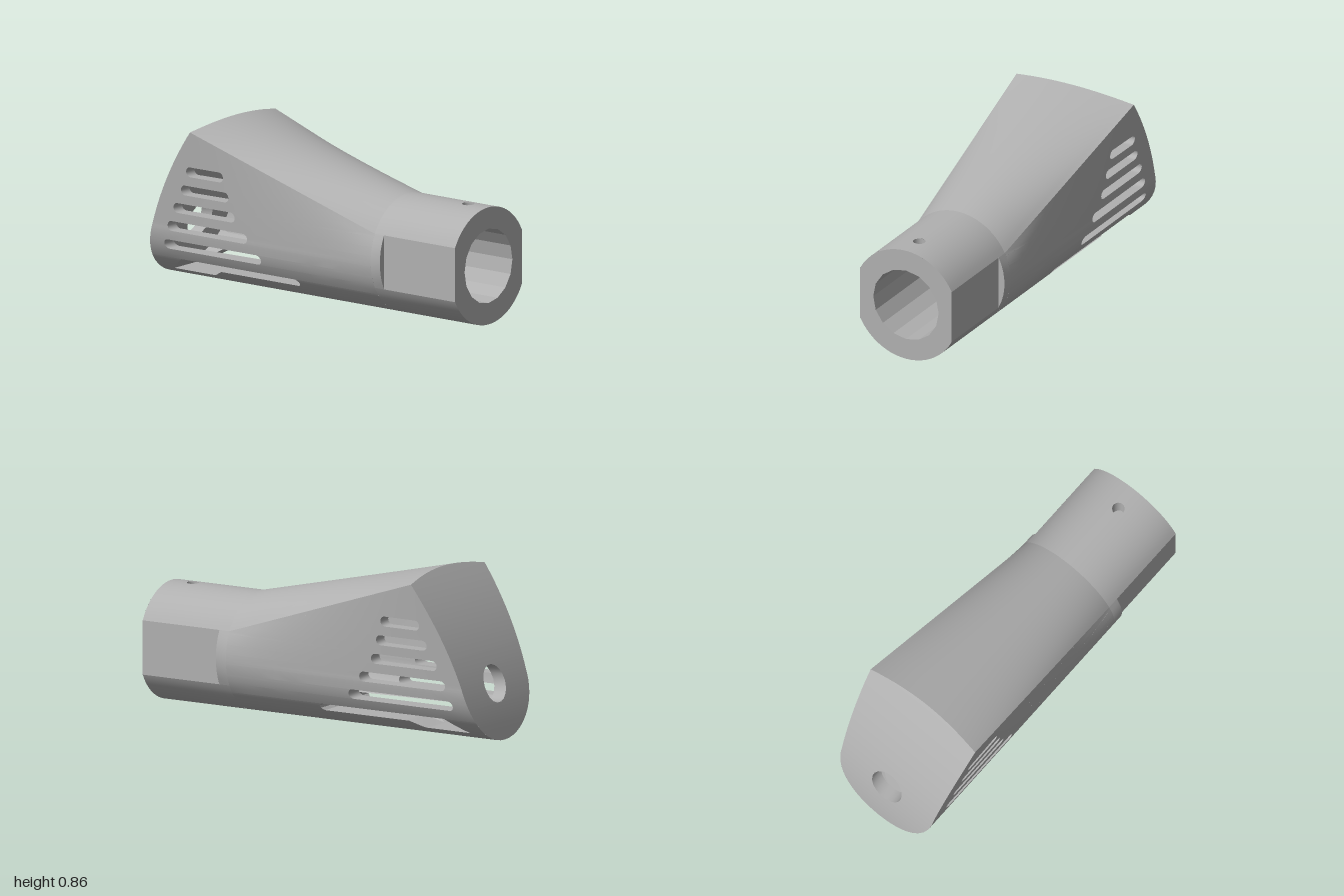
import * as THREE from 'three';
import { toCreasedNormals } from 'three/addons/utils/BufferGeometryUtils.js';

const C = 0.304;                       // barrel axis height
const FX = 0.27;                       // x of the collar flats
const Z0 = 0.48, LEN = 1.11;           // where the flare starts, and its length
const HOLE_Y = 0.283, HOLE_R = 0.095;  // rear hole
const BORE = 0.193, WALL = 0.07;
const N = 20;                          // rulings across the flared top
const lerp = THREE.MathUtils.lerp, clamp = THREE.MathUtils.clamp;
const root = v => Math.sqrt(Math.max(0, v));

// Outer skin and inner cavity: round at the collar, tall and crowned at the rear
const OUTER = { r0: 0.304, r1: 0.304, flat: 0.14, topX: 0.344, topY: 0.81, crown: 0.046, inset: 0 };
const INNER = { r0: BORE, r1: 0.227, flat: 0.089, topX: 0.274, topY: 0.745, crown: 0.04, inset: WALL };

// Curved rear surface
const backZ = y => -1 + 0.1076 * y + 0.38 * y * y;

// Half width of a skin
function sideX(k, y, z) {
  const t = Math.max(0, (Z0 - z) / LEN);
  if (y <= C) return root(lerp(k.r0, k.r1, t) ** 2 - (y - C) ** 2);
  const s = Math.min(1, (y - C) / lerp(k.flat, k.topY - C, t));
  return lerp(root(k.r0 ** 2 - (k.flat * s) ** 2), lerp(k.r1, k.topX, s), t);
}

// Straight rulings from the collar circle to the crowned top edge
function makeRulings(k) {
  const a0 = Math.asin(k.flat / k.r0);
  return Array.from({ length: N + 1 }, (_, i) => {
    const a = lerp(a0, Math.PI - a0, i / N), f = Math.cos(a) / Math.cos(a0);
    const x0 = k.r0 * Math.cos(a), y0 = C + k.r0 * Math.sin(a);
    const y1 = k.topY + k.crown * (1 - f * f);
    let t = 1;
    for (let n = 0; n < 20; n++) t = (Z0 - backZ(lerp(y0, y1, t)) - k.inset) / LEN;
    return { x0, y0, x: lerp(x0, k.topX * f, t), y: lerp(y0, y1, t), z: Z0 - LEN * t };
  });
}

// Closed outlines in (u, v)
const circle = (u, v, r, n) => Array.from({ length: n }, (_, i) => {
  const a = i / n * Math.PI * 2;
  return [u + r * Math.cos(a), v + r * Math.sin(a)];
});
function slot(y, zFront, zRear, h = 0.026) {
  const pts = [];
  for (const [z, start] of [[zFront - h, -Math.PI / 2], [zRear + h, Math.PI / 2]])
    for (let i = 0; i <= 8; i++) {
      const a = start + i / 8 * Math.PI;
      pts.push([z + h * Math.cos(a), y + h * Math.sin(a)]);
    }
  return pts;
}

// Where an outline crosses height v, using the edges that pass height mid
function cross(poly, v, mid) {
  const hits = [];
  poly.forEach(([u1, v1], i) => {
    const [u2, v2] = poly[(i + 1) % poly.length];
    if ((v1 < mid) !== (v2 < mid)) hits.push(lerp(u1, u2, (v - v1) / (v2 - v1)));
  });
  return hits.sort((a, b) => a - b);
}

function geometryFrom(quads) {
  const pos = [];
  for (const [a, b, c, d] of quads) pos.push(...a, ...b, ...c, ...a, ...c, ...d);
  const g = new THREE.BufferGeometry();
  g.setAttribute('position', new THREE.Float32BufferAttribute(pos, 3));
  return toCreasedNormals(g, 0.45);
}

// Surface made of rows, with holes left out
function panel(levels, span, holes, map, n = 14) {
  const rows = [...levels, ...holes.flat().map(p => p[1])]
    .filter(v => v >= Math.min(...levels) && v <= Math.max(...levels))
    .sort((a, b) => a - b).filter((v, i, l) => !i || v - l[i - 1] > 1e-5);
  const quads = [];
  for (let i = 0; i + 1 < rows.length; i++) {
    const va = rows[i], vb = rows[i + 1], mid = (va + vb) / 2;
    const cuts = v => {
      const [lo, hi] = span(v, mid);
      const inner = holes.flatMap(h => cross(h, v, mid)).map(u => clamp(u, lo, hi));
      return [lo, ...inner.sort((a, b) => a - b), hi];
    };
    const a = cuts(va), b = cuts(vb);
    for (let k = 0; k < a.length; k += 2) {
      if (a[k + 1] - a[k] + b[k + 1] - b[k] < 1e-6) continue;
      for (let j = 0; j < n; j++) {
        const u = (l, f) => lerp(l[k], l[k + 1], f / n);
        quads.push([map(u(a, j), va), map(u(a, j + 1), va), map(u(b, j + 1), vb), map(u(b, j), vb)]);
      }
    }
  }
  return geometryFrom(quads);
}

export function createModel() {
  const group = new THREE.Group();
  const grey = new THREE.MeshStandardMaterial({ color: 0xb0b0b0, side: THREE.DoubleSide });
  grey.name = 'grey';
  const add = (name, geometry) => {
    const m = new THREE.Mesh(geometry, grey);
    m.name = name;
    group.add(m);
    return m;
  };

  // Side vents, the lowest one widening towards the rear
  const slots = [
    slot(0.607, -0.46, -0.695), slot(0.506, -0.43, -0.735), slot(0.406, -0.395, -0.79),
    slot(0.305, -0.32, -0.835), slot(0.203, -0.245, -0.87),
    [[-0.04, 0.098], [-0.04, 0.112], [-0.055, 0.125], [-0.79, 0.125], [-0.9, 0.05],
      [-0.635, 0.05], [-0.56, 0.085], [-0.055, 0.085]],
  ];
  const rearHole = circle(0, HOLE_Y, HOLE_R, 18);

  // Flared shell: the outer skin and the cavity inside it
  for (const [name, k] of [['outer', OUTER], ['cavity', INNER]]) {
    const rulings = makeRulings(k), half = rulings.slice(0, N / 2 + 1);
    const quads = [];
    for (let i = 0; i < N; i++) for (let j = 0; j < 8; j++) {
      const at = (r, f) => [lerp(r.x0, r.x, f), lerp(r.y0, r.y, f), lerp(Z0, r.z, f)];
      const p = rulings[i], q = rulings[i + 1];
      quads.push([at(p, j / 8), at(p, (j + 1) / 8), at(q, (j + 1) / 8), at(q, j / 8)]);
    }
    add(name + 'Top', geometryFrom(quads));

    // Flanks and round underside
    const deepest = lerp(k.r0, k.r1, (Z0 + 0.92) / LEN);
    const levels = [C - k.r0, C + k.flat];
    for (let i = 0; i <= 12; i++) levels.push(C - deepest * Math.cos(i / 12 * Math.PI / 2));
    for (let i = 1; i <= 14; i++) levels.push(lerp(C, half[0].y, i / 14));
    const span = (y, mid) => {
      let front = Z0;
      if (mid > C + k.flat) front -= LEN * (y - C - k.flat) / (k.topY - C - k.flat);
      if (mid < C - k.r0) front -= LEN * (C - y - k.r0) / (k.r1 - k.r0);
      const rear = backZ(y) + k.inset;
      return [rear, Math.max(front, rear)];
    };
    for (const [side, s] of [['Left', 1], ['Right', -1]])
      add(name + side + 'Flank', panel(levels, span, slots, (z, y) => [s * sideX(k, y, z), y, z]));

    // Rear wall with its round hole
    const rearX = y => {
      if (y <= half[0].y) return sideX(k, y, backZ(y) + k.inset);
      const i = Math.max(1, half.findIndex(r => r.y >= y - 1e-7));
      const p = half[i - 1], q = half[i];
      return lerp(p.x, q.x, clamp((y - p.y) / (q.y - p.y), 0, 1));
    };
    add(name + 'RearWall', panel([...levels, ...half.map(r => r.y)], y => [-rearX(y), rearX(y)],
      [rearHole], (x, y) => [x, y, backZ(y) + k.inset], 2));
  }
  add('rearHoleRim', geometryFrom(rearHole.map(([x, y], i) => {
    const [x2, y2] = rearHole[(i + 1) % rearHole.length];
    return [[x, y, backZ(y)], [x2, y2, backZ(y2)], [x2, y2, backZ(y2) + WALL], [x, y, backZ(y) + WALL]];
  })));

  // Collar and vent details on each side
  const { r0: R, flat: FLAT } = OUTER;
  const arc = Array.from({ length: 17 }, (_, i) => C - R * Math.cos(i / 16 * Math.PI / 2));
  const mids = Array.from({ length: 9 }, (_, i) => C + FLAT * (i / 4 - 1));
  for (const [side, s] of [['left', 1], ['right', -1]]) {
    const skin = (k, [z, y]) => [s * sideX(k, y, z), y, z];
    const walls = [];
    for (const poly of slots) poly.forEach((p, i) => {
      const q = poly[(i + 1) % poly.length], n = Math.abs(p[0] - q[0]) > 0.1 ? 14 : 1;
      for (let j = 0; j < n; j++) {
        const [a, b] = [j / n, (j + 1) / n].map(f => [lerp(p[0], q[0], f), lerp(p[1], q[1], f)]);
        walls.push([skin(OUTER, a), skin(OUTER, b), skin(INNER, b), skin(INNER, a)]);
      }
    });
    add(side + 'VentWalls', geometryFrom(walls));

    add(side + 'CollarUnderside', panel([...arc.filter(y => y < C - FLAT), C - FLAT], () => [Z0, 1], [],
      (z, y) => [s * sideX(OUTER, y, z), y, z], 1));
    add(side + 'CollarShoulder', panel(mids, () => [Z0, 0.54], [],
      (z, y) => [s * root(R * R - (y - C) ** 2), y, z], 1));
    add(side + 'CollarStep', panel(mids, y => [FX, Math.max(FX, root(R * R - (y - C) ** 2))], [],
      (x, y) => [s * x, y, 0.54], 1));
    const flat = add(side + 'CollarFlat', new THREE.PlaneGeometry(0.46, FLAT * 2));
    flat.rotation.y = s * Math.PI / 2;
    flat.position.set(s * FX, C, 0.77);
  }

  // Collar top with a small pin hole
  add('collarTop', panel(makeRulings(OUTER).map(r => r.x0), () => [Z0, 1], [circle(0.87, 0, 0.032, 16)],
    (z, x) => [x, C + root(R * R - x * x), z], 4));
  const pin = add('pinHole', new THREE.CylinderGeometry(0.032, 0.032, 0.115, 16, 1, true));
  pin.position.set(0, 0.549, 0.87);

  // Faceted bore and the front ring around it
  const bore = add('bore', toCreasedNormals(new THREE.CylinderGeometry(BORE, BORE, 1 - Z0, 16, 1, true), 0.3));
  bore.rotation.x = Math.PI / 2;
  bore.position.set(0, C, (1 + Z0) / 2);
  add('frontRing', panel([...arc, ...arc.map(y => 2 * C - y)], y => {
    const x = Math.min(FX, root(R * R - (y - C) ** 2));
    return [-x, x];
  }, [circle(0, C, BORE, 16)], (x, y) => [x, y, 1], 1));

  return group;
}
